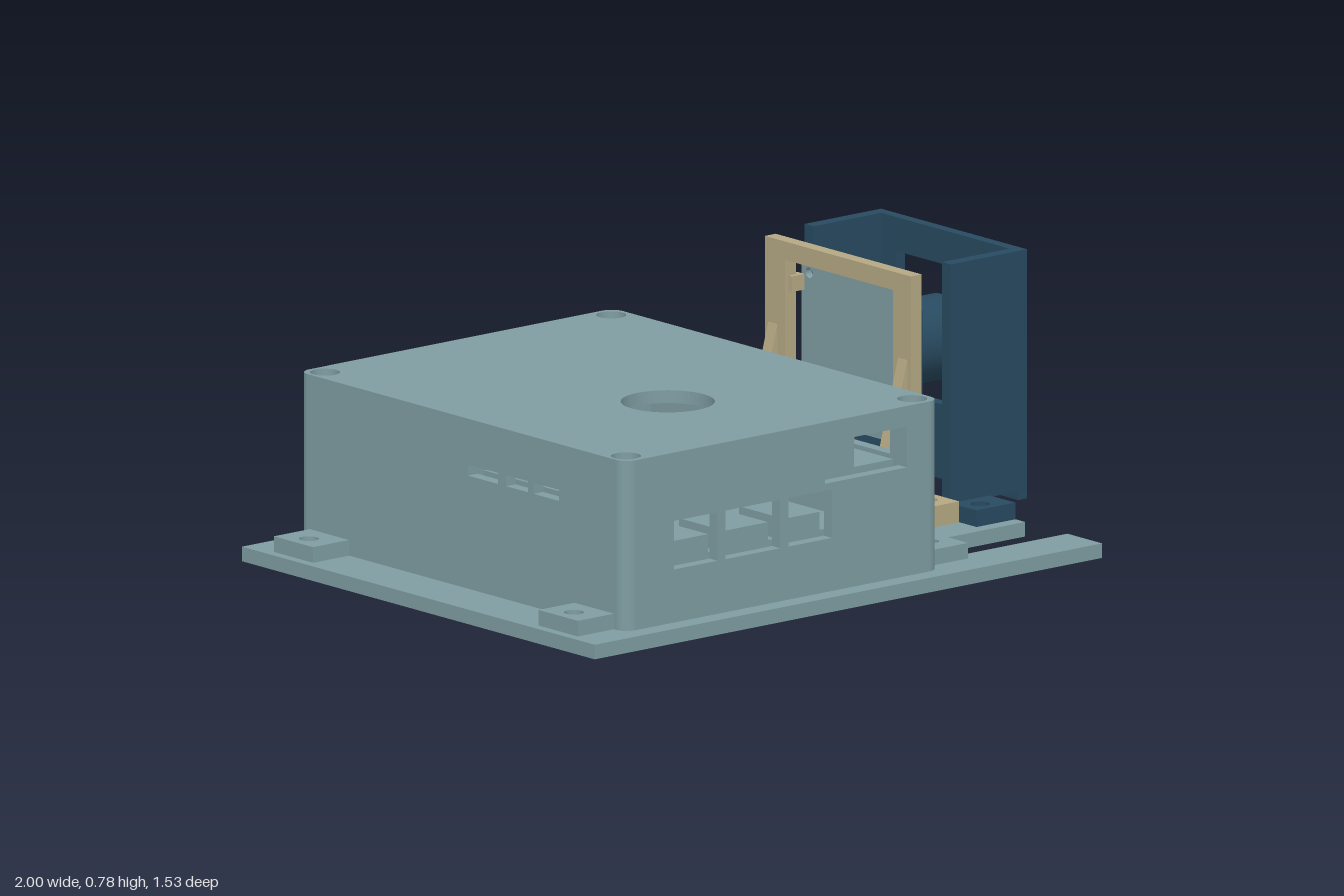
import * as THREE from 'three';

const mat = (name, color) => {
  const m = new THREE.MeshStandardMaterial({ color });
  m.name = name;
  return m;
};

export function createModel() {
  const root = new THREE.Group();
  root.name = 'cameraEnclosure';
  const grey = mat('grey teal', 0x7f9da2);
  const navy = mat('dark blue', 0x284a60);
  const tan = mat('tan', 0xb5a883);
  const orange = mat('orange', 0xd8934a);

  const add = (name, geo, m, parent = root) => {
    const mesh = new THREE.Mesh(geo, m);
    mesh.name = name;
    parent.add(mesh);
    return mesh;
  };
  // Box given by its limits along each axis
  const box = (name, m, x0, x1, y0, y1, z0, z1, parent) => {
    const g = new THREE.BoxGeometry(x1 - x0, y1 - y0, z1 - z0);
    g.translate((x0 + x1) / 2, (y0 + y1) / 2, (z0 + z1) / 2);
    return add(name, g, m, parent);
  };
  const rect = (a0, a1, b0, b1) => [[a0, b0], [a1, b0], [a1, b1], [a0, b1]];
  const circle = (a, b, r, n = 28) => Array.from({ length: n }, (_, i) => {
    const t = (i / n) * Math.PI * 2;
    return [a + r * Math.cos(t), b + r * Math.sin(t)];
  });
  // Rectangle whose corners have individual radii
  const rounded = (a0, a1, b0, b1, radii) => {
    const c = [[a1, b1, -1, -1], [a0, b1, 1, -1], [a0, b0, 1, 1], [a1, b0, -1, 1]];
    return c.flatMap(([a, b, sa, sb], k) => {
      const r = radii[k];
      if (!r) return [[a, b]];
      return Array.from({ length: 9 }, (_, i) => {
        const t = (k + i / 8) * Math.PI / 2;
        return [a + sa * r + r * Math.cos(t), b + sb * r + r * Math.sin(t)];
      });
    });
  };
  // Slab extruded along an axis; outlines use (x,z), (x,y) or (z,y)
  const slab = (name, m, axis, outline, from, to, holes = [], parent) => {
    const map = ([a, b]) => axis === 'y' ? new THREE.Vector2(a, -b)
      : axis === 'x' ? new THREE.Vector2(-a, b) : new THREE.Vector2(a, b);
    // Mirrored axes flip the winding, so restore it
    const loop = pts => axis === 'z' ? pts.map(map) : pts.map(map).reverse();
    const s = new THREE.Shape(loop(outline));
    s.holes = holes.map(h => new THREE.Path(loop(h)));
    const g = new THREE.ExtrudeGeometry(s, { depth: to - from, bevelEnabled: false });
    g.translate(0, 0, from);
    if (axis === 'y') g.rotateX(-Math.PI / 2);
    if (axis === 'x') g.rotateY(Math.PI / 2);
    return add(name, g, m, parent);
  };

  // Base plate with two slots, mounting holes and a large underside opening
  const caseFeet = [[-0.915, -0.575], [-0.915, 0.572], [0.39, -0.575], [0.39, 0.572]];
  const cableFeet = [[0.39, -0.272], [0.39, 0.187]];
  const standHoles = [[0.663, -0.33], [0.663, 0.245]];
  const coverHoles = [[0.778, -0.422], [0.778, 0.335]];
  const wallHoles = [-0.54, -0.04].flatMap(x => [[x, -0.675], [x, 0.675]]);
  slab('basePlate', grey, 'y', [
    [-1, -0.765], [0.863, -0.765], [0.863, -0.62], [0.46, -0.62], [0.46, -0.477], [0.863, -0.477],
    [0.863, 0.43], [0.46, 0.43], [0.46, 0.613], [0.863, 0.613], [0.863, 0.763], [-1, 0.763],
  ], 0, 0.042, [
    ...[...caseFeet, ...cableFeet, ...standHoles, ...coverHoles].map(([x, z]) => circle(x, z, 0.027)),
    ...wallHoles.map(([x, z]) => circle(x, z, 0.02)),
    rect(-0.805, 0.28, -0.62, 0.635),
  ]);

  // Enclosure: lid, four pierced walls, corner posts, floor
  const shell = new THREE.Group();
  shell.name = 'enclosure';
  root.add(shell);
  const screws = [[-0.788, -0.655], [-0.788, 0.648], [0.263, -0.655], [0.263, 0.648]];
  slab('lid', grey, 'y', rounded(-0.84, 0.318, -0.71, 0.705, [0.04, 0.04, 0.04, 0.04]), 0.495, 0.532,
    [circle(-0.28, 0.23, 0.132, 48), ...screws.map(([x, z]) => circle(x, z, 0.042))], shell);
  slab('frontWall', grey, 'z', rect(-0.74, 0.218, 0.042, 0.495), 0.67, 0.705, [
    rect(-0.66, -0.5, 0.195, 0.335), rect(-0.47, -0.27, 0.195, 0.335),
    rect(-0.24, -0.08, 0.195, 0.335), rect(-0.105, 0.195, 0.355, 0.473),
  ], shell);
  slab('backWall', grey, 'z', rect(-0.74, 0.218, 0.042, 0.495), -0.71, -0.675,
    [rect(-0.735, 0.055, 0.115, 0.463)], shell);
  slab('rightWall', grey, 'x', rect(-0.61, 0.605, 0.042, 0.495), 0.283, 0.318,
    [rect(0.23, 0.6, 0.348, 0.47)], shell);
  slab('leftWall', grey, 'x', rect(-0.61, 0.605, 0.042, 0.495), -0.84, -0.805,
    [[0.025, 0.155], [0.19, 0.285], [0.31, 0.42]].map(([a, b]) => rect(a, b, 0.368, 0.4)), shell);
  screws.forEach(([x, z]) => {
    const x0 = x < 0 ? -0.84 : 0.218, z0 = z < 0 ? -0.71 : 0.605;
    const radii = [[1, 1], [-1, 1], [-1, -1], [1, -1]].map(([a, b]) => a * x > 0 && b * z > 0 ? 0.04 : 0);
    slab('cornerPost', grey, 'y', rounded(x0, x0 + 0.1, z0, z0 + 0.1, radii), 0.042, 0.495,
      [circle(x, z, 0.021)], shell);
  });
  slab('floor', grey, 'y', rect(-0.82, 0.3, -0.69, 0.685), 0.046, 0.072,
    [[-0.72, -0.2], [-0.72, 0.55], [-0.07, -0.2], [-0.07, 0.55]].map(([x, z]) => circle(x, z, 0.02)), shell);

  // Mounting tabs
  caseFeet.forEach(([x, z]) => {
    const x0 = x < 0 ? -0.972 : 0.318, x1 = x < 0 ? -0.84 : 0.46;
    slab('mountTab', grey, 'y', rect(x0, x1, z - 0.085, z + 0.085), 0.042, 0.087, [circle(x, z, 0.028)]);
  });

  // Electronics inside
  const boards = new THREE.Group();
  boards.name = 'electronics';
  root.add(boards);
  box('mainBoard', grey, -0.76, 0.08, 0.185, 0.205, -0.62, 0.64, boards);
  box('upperBoard', grey, -0.76, 0.2, 0.345, 0.366, 0, 0.64, boards);
  [[-0.65, -0.51], [-0.45, -0.29], [-0.23, -0.1]].forEach(([a, b]) =>
    box('frontPort', grey, a, b, 0.205, 0.268, 0.48, 0.675, boards));
  [[-0.18, 0.04, 0.45], [-0.44, -0.21, 0.45], [-0.7, -0.47, 0.41]].forEach(([a, b, h]) =>
    box('rearPort', grey, a, b, 0.12, h, -0.7, -0.22, boards));
  box('sidePort', grey, 0.2, 0.275, 0.345, 0.425, 0.24, 0.365, boards);
  box('upperPort', grey, -0.1, 0.04, 0.366, 0.464, 0.4, 0.66, boards);

  // Cable clamp beside the enclosure
  cableFeet.forEach(([x, z]) =>
    slab('clampTab', grey, 'y', rect(0.325, 0.445, z - 0.058, z + 0.058), 0.042, 0.087, [circle(x, z, 0.027)]));
  box('clampBlock', grey, 0.318, 0.38, 0.042, 0.256, -0.217, 0.128);
  slab('clampBar', grey, 'y', rect(0.318, 0.377, -0.217, 0.128), 0.27, 0.3,
    [circle(0.345, -0.18, 0.013, 16), circle(0.345, 0.092, 0.013, 16)]);

  // Ribbon cable: a thin band following a curve
  const path = new THREE.CatmullRomCurve3([[0.32, 0.264], [0.39, 0.264], [0.435, 0.245], [0.462, 0.19],
    [0.467, 0.12], [0.49, 0.075], [0.53, 0.07], [0.556, 0.11], [0.562, 0.2], [0.565, 0.26]]
    .map(([x, y]) => new THREE.Vector3(x, y, 0)));
  const edge = d => Array.from({ length: 41 }, (_, i) => {
    const q = path.getPoint(i / 40), t = path.getTangent(i / 40);
    return [q.x - t.y * d, q.y + t.x * d];
  });
  slab('ribbonCable', orange, 'z', [...edge(-0.002), ...edge(0.002).reverse()], -0.13, 0.04);

  // Camera stand: upright frame, feet and gussets
  const stand = new THREE.Group();
  stand.name = 'cameraStand';
  root.add(stand);
  slab('uprightFrame', tan, 'x', rect(-0.36, 0.272, 0.1, 0.765), 0.577, 0.617,
    [rect(-0.272, 0.195, 0.17, 0.712)], stand);
  [[-0.4, -0.26, -0.345], [0.177, 0.315, 0.217]].forEach(([z0, z1, zg], i) => {
    slab('standFoot', tan, 'y', rect(0.462, 0.718, z0, z1), 0.042, 0.103,
      [circle(standHoles[i][0], standHoles[i][1], 0.027)], stand);
    slab('gusset', tan, 'z', [[0.462, 0.103], [0.578, 0.103], [0.578, 0.525]], zg, zg + 0.04, [], stand);
    const a = i ? 0.181 : -0.29, b = i ? 0.213 : -0.258;
    [0.265, 0.62].forEach(y => box('boardBracket', tan, 0.59, 0.637, y, y + 0.045, a, b, stand));
  });

  // Camera board and lens
  slab('cameraBoard', grey, 'x', rect(-0.272, 0.195, 0.25, 0.703), 0.636, 0.658,
    [0.285, 0.672].flatMap(y => [-0.238, 0.163].map(z => circle(z, y, 0.015, 16))));
  box('lensHousing', navy, 0.658, 0.78, 0.357, 0.6, -0.16, 0.084);
  const lens = new THREE.CylinderGeometry(0.121, 0.121, 0.17, 48);
  lens.rotateZ(Math.PI / 2);
  lens.translate(0.865, 0.4785, -0.038);
  add('lensBarrel', lens, navy);

  // Camera cover: windowed front panel, side walls and feet
  const cover = new THREE.Group();
  cover.name = 'cameraCover';
  root.add(cover);
  slab('coverPanel', navy, 'x', rect(-0.356, 0.276, 0.06, 0.778), 0.968, 1,
    [rect(-0.253, 0.18, 0.275, 0.68)], cover);
  [[-0.356, -0.318], [0.238, 0.276]].forEach(([z0, z1]) =>
    box('coverSide', navy, 0.72, 0.968, 0.085, 0.778, z0, z1, cover));
  [[-0.473, -0.306], [0.23, 0.388]].forEach(([z0, z1], i) =>
    slab('coverFoot', navy, 'y', rect(0.72, 0.863, z0, z1), 0.042, 0.09,
      [circle(coverHoles[i][0], coverHoles[i][1], 0.027)], cover));

  return root;
}
